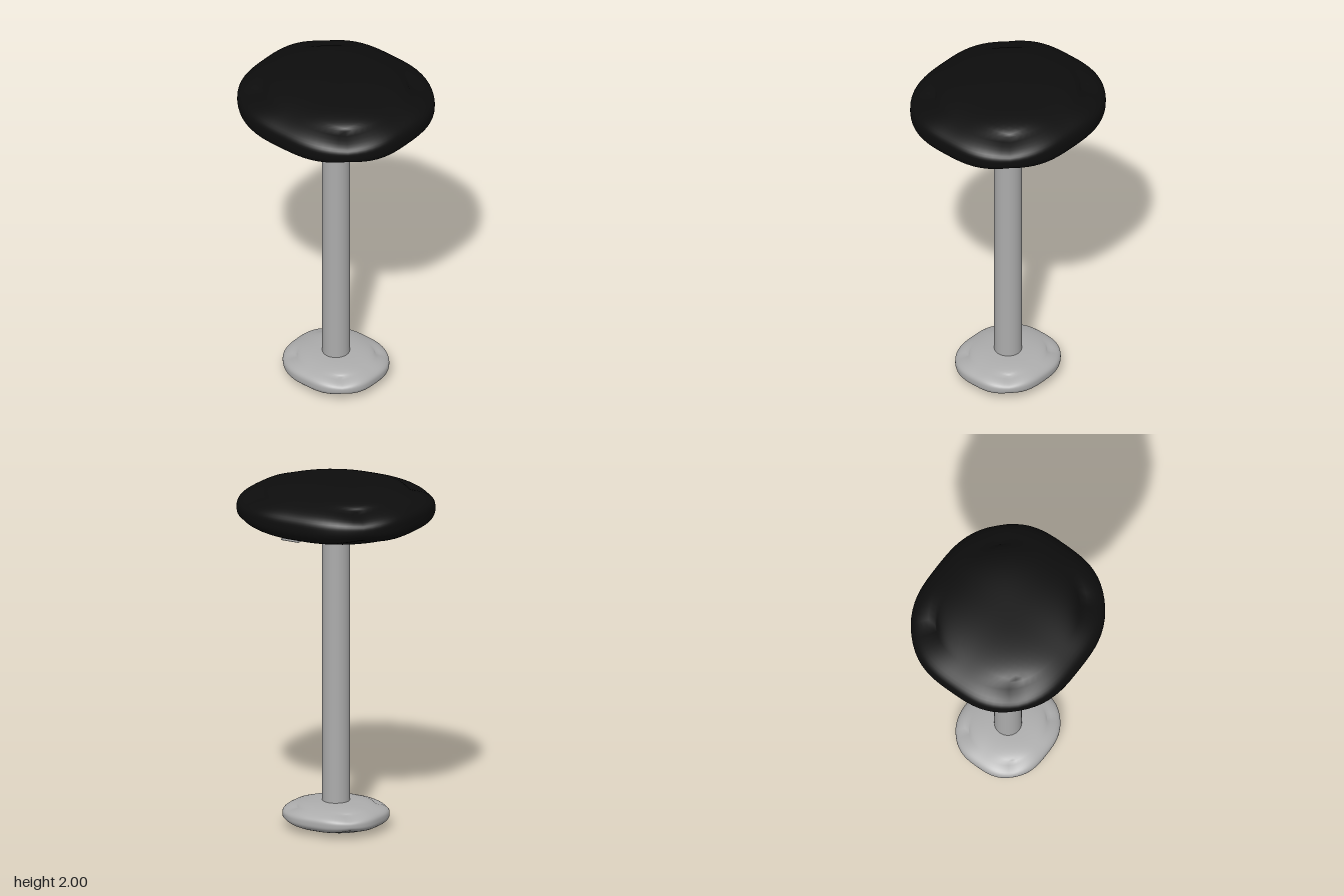
import * as THREE from 'three';
import { mergeVertices } from 'three/addons/utils/BufferGeometryUtils.js';

// Smooth pillow: a box whose edges are pulled in to 3/4 and corners to 9/16.
function pillow(width, height, depth, segments = 20) {
  let geometry = new THREE.BoxGeometry(2, 2, 2, segments, segments, segments);
  geometry.deleteAttribute('uv');
  geometry.deleteAttribute('normal');
  geometry = mergeVertices(geometry, 1e-4);
  const pos = geometry.attributes.position;
  const pull = (t) => 1 - 0.25 * Math.abs(t) ** 3;
  for (let i = 0; i < pos.count; i++) {
    const x = pos.getX(i), y = pos.getY(i), z = pos.getZ(i);
    pos.setXYZ(
      i,
      x * pull(y) * pull(z) * width / 2,
      y * pull(x) * pull(z) * height / 2,
      z * pull(x) * pull(y) * depth / 2
    );
  }
  geometry.computeVertexNormals();
  return geometry;
}

// Round rod between two points.
function rod(a, b, radius) {
  const path = new THREE.LineCurve3(new THREE.Vector3(...a), new THREE.Vector3(...b));
  return new THREE.TubeGeometry(path, 1, radius, 8);
}

export function createModel() {
  const black = new THREE.MeshStandardMaterial({ color: 0x0d0d0d });
  black.name = 'black upholstery';
  const metal = new THREE.MeshStandardMaterial({ color: 0xacacac });
  metal.name = 'grey metal';

  const stool = new THREE.Group();
  stool.name = 'stool';
  const add = (name, geometry, material, y = 0, parent = stool) => {
    const mesh = new THREE.Mesh(geometry, material);
    mesh.name = name;
    mesh.position.y = y;
    parent.add(mesh);
  };

  add('seat', pillow(1.07, 0.29, 0.994), black, 1.855);
  add('column', new THREE.CylinderGeometry(0.077, 0.077, 1.66, 40), metal, 0.92);
  add('base', pillow(0.578, 0.156, 0.536), metal, 0.08);

  // Height lever: a sloping stem ending in a flat square loop
  const lever = new THREE.Group();
  lever.name = 'heightLever';
  stool.add(lever);
  const r = 0.006, y = 1.633, near = 0.215, far = 0.315, half = 0.052;
  add('leverStem', rod([0.06, 1.697, 0], [near, y, 0], r), metal, 0, lever);
  for (const x of [near, far]) {
    add('leverCrossBar', rod([x, y, -half - r], [x, y, half + r], r), metal, 0, lever);
  }
  for (const z of [-half, half]) {
    add('leverSideBar', rod([near - r, y, z], [far + r, y, z], r), metal, 0, lever);
  }
  return stool;
}
